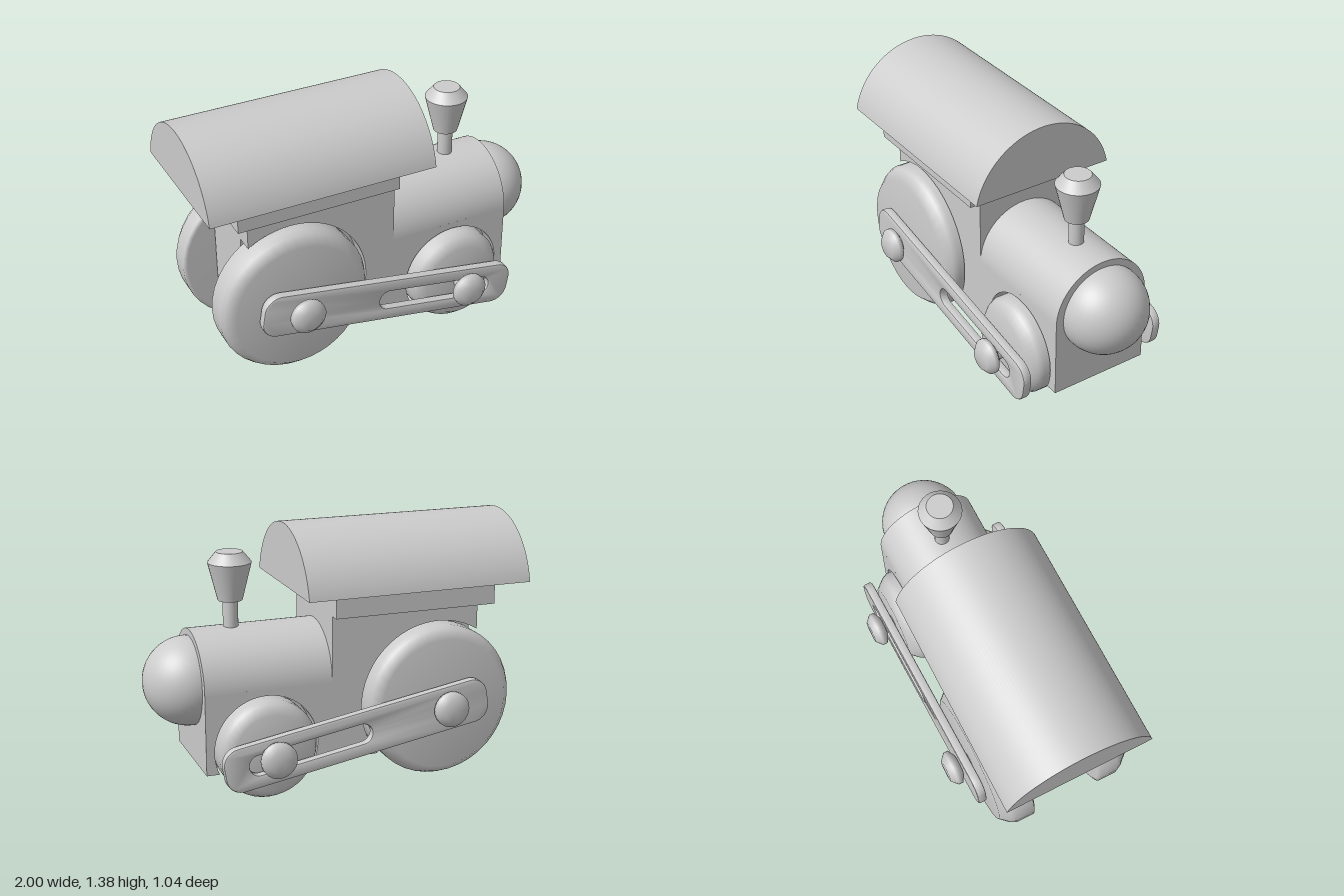
import * as THREE from 'three';
import { toCreasedNormals } from 'three/addons/utils/BufferGeometryUtils.js';

const material = new THREE.MeshStandardMaterial({ color: 0xcccccc });

function add(parent, name, geometry, x = 0, y = 0, z = 0) {
  const mesh = new THREE.Mesh(geometry, material);
  mesh.name = name;
  mesh.position.set(x, y, z);
  parent.add(mesh);
  return mesh;
}

// Box given by its limits in x and y, centred on z = 0
function addBlock(parent, name, x0, x1, y0, y1, width) {
  return add(parent, name, new THREE.BoxGeometry(x1 - x0, y1 - y0, width), (x0 + x1) / 2, (y0 + y1) / 2);
}

function extrude(shape, depth, bevel = 0) {
  return toCreasedNormals(new THREE.ExtrudeGeometry(shape, {
    depth: depth - 2 * bevel, curveSegments: 32, bevelEnabled: bevel > 0,
    bevelThickness: bevel, bevelSize: bevel, bevelOffset: -bevel, bevelSegments: 2,
  }).translate(0, 0, bevel), 0.6);
}

// Cross-section in (z, y) run along x
function addAlongX(parent, name, shape, x0, x1) {
  add(parent, name, extrude(shape, x1 - x0).rotateY(Math.PI / 2), x0);
}

// Lathe turned to spin around the z axis; points are (radius, z)
function turned(points, segments = 40) {
  return new THREE.LatheGeometry(points.map(([r, z]) => new THREE.Vector2(r, z)), segments).rotateX(Math.PI / 2);
}

function wheelGeometry(r) {
  return turned([[0, 0.19], [r - 0.02, 0.19], [r, 0.2], [r, 0.3], [r - 0.015, 0.33], [r - 0.06, 0.38], [0, 0.38]]);
}

function roundedBar(halfLength, halfWidth, r, Type) {
  const bar = new Type();
  const a = halfLength - r, b = halfWidth - r;
  bar.absarc(a, b, r, 0, Math.PI / 2);
  bar.absarc(-a, b, r, Math.PI / 2, Math.PI);
  bar.absarc(-a, -b, r, Math.PI, Math.PI * 1.5);
  bar.absarc(a, -b, r, Math.PI * 1.5, Math.PI * 2);
  bar.closePath();
  return bar;
}

const REAR = { x: -0.53, y: 0.425, r: 0.413 };
const FRONT = { x: 0.425, y: 0.27, r: 0.265 };
const FLOOR = 0.155, CORE = 0.18, HALF = 0.278;

// Cab wall with the rear wheel arch cut away
function cabWall() {
  const r = REAR.r + 0.017, back = -0.76;
  const startY = Math.sqrt(r * r - (back - REAR.x) ** 2);
  const endX = Math.sqrt(r * r - (FLOOR - REAR.y) ** 2);
  const s = new THREE.Shape();
  s.moveTo(REAR.x + endX, FLOOR);
  s.lineTo(0.065, FLOOR);
  s.lineTo(0.065, 0.935);
  s.lineTo(back, 0.935);
  s.lineTo(back, REAR.y + startY);
  s.absarc(REAR.x, REAR.y, r, Math.atan2(startY, back - REAR.x), Math.atan2(FLOOR - REAR.y, endX), true);
  return extrude(s, HALF - CORE);
}

// Lower boiler wall with the front wheel arch cut away
function boilerWall() {
  const r = FRONT.r + 0.015, dy = FLOOR - FRONT.y;
  const dx = Math.sqrt(r * r - dy * dy);
  const s = new THREE.Shape();
  s.moveTo(FRONT.x + dx, FLOOR);
  s.lineTo(0.75, FLOOR);
  s.lineTo(0.75, 0.585);
  s.lineTo(0.065, 0.585);
  s.lineTo(0.065, FLOOR);
  s.lineTo(FRONT.x - dx, FLOOR);
  s.absarc(FRONT.x, FRONT.y, r, Math.atan2(dy, -dx) + Math.PI * 2, Math.atan2(dy, dx), true);
  return extrude(s, HALF - CORE);
}

export function createModel() {
  const model = new THREE.Group();
  model.name = 'toyLocomotive';

  // Cab, boiler and their cores between the wheels
  addBlock(model, 'cabCore', -0.76, 0.065, FLOOR, 0.935, CORE * 2);
  addBlock(model, 'boilerCore', 0.065, 0.75, FLOOR, 0.585, CORE * 2);
  addBlock(model, 'roofBase', -0.83, 0.065, 0.935, 1.056, 0.67);

  const arch = new THREE.Shape();
  arch.absarc(0, 0.583, HALF, 0, Math.PI);
  arch.closePath();
  addAlongX(model, 'boilerTop', arch, 0.065, 0.75);

  // Roof: segment of a circle
  const halfSpan = 0.405, rise = 0.33, base = 1.055;
  const R = (halfSpan ** 2 + rise ** 2) / (2 * rise);
  const tilt = Math.asin((R - rise) / R);
  const roof = new THREE.Shape();
  roof.absarc(0, base + rise - R, R, tilt, Math.PI - tilt);
  roof.closePath();
  addAlongX(model, 'roof', roof, -1, 0.235);

  // Nose dome
  add(model, 'nose', new THREE.SphereGeometry(0.236, 40, 28), 0.764, 0.59);

  // Chimney
  add(model, 'chimneyStem', new THREE.CylinderGeometry(0.04, 0.04, 0.2, 24), 0.525, 0.92);
  const funnel = [[0, 1], [0.065, 1], [0.115, 1.2], [0.07, 1.255], [0, 1.255]];
  add(model, 'chimneyFunnel', toCreasedNormals(new THREE.LatheGeometry(
    funnel.map(([r, y]) => new THREE.Vector2(r, y)), 28), 0.7), 0.525);

  // Axles
  for (const w of [REAR, FRONT])
    add(model, 'axle', new THREE.CylinderGeometry(0.04, 0.04, 0.92, 20).rotateX(Math.PI / 2), w.x, w.y);

  // Connecting rod with its slot
  const bar = roundedBar(0.738, 0.121, 0.09, THREE.Shape);
  const slot = new THREE.Path();
  slot.absarc(-0.015, 0, 0.053, Math.PI / 2, Math.PI * 1.5);
  slot.absarc(0.553, 0, 0.053, -Math.PI / 2, Math.PI / 2);
  slot.closePath();
  bar.holes.push(slot);
  const rodGeometry = extrude(bar, 0.05, 0.01);

  const bolt = [[0, 0.442], [0.06, 0.442], [0.095, 0.463], [0.095, 0.488], [0.06, 0.52], [0, 0.52]];

  // Walls, wheels, rods and bolts on both sides
  for (const side of [1, -1]) {
    const half = new THREE.Group();
    half.name = side > 0 ? 'frontSide' : 'backSide';
    add(half, 'cabWall', cabWall(), 0, 0, CORE);
    add(half, 'boilerWall', boilerWall(), 0, 0, CORE);
    add(half, 'rearWheel', wheelGeometry(REAR.r), REAR.x, REAR.y);
    add(half, 'frontWheel', wheelGeometry(FRONT.r), FRONT.x, FRONT.y);
    add(half, 'connectingRod', rodGeometry, -0.03, 0.333, 0.39).rotation.z = -0.168;
    for (const w of [REAR, FRONT]) add(half, 'bolt', turned(bolt, 28), w.x, w.y);
    half.scale.z = side;
    model.add(half);
  }
  return model;
}
